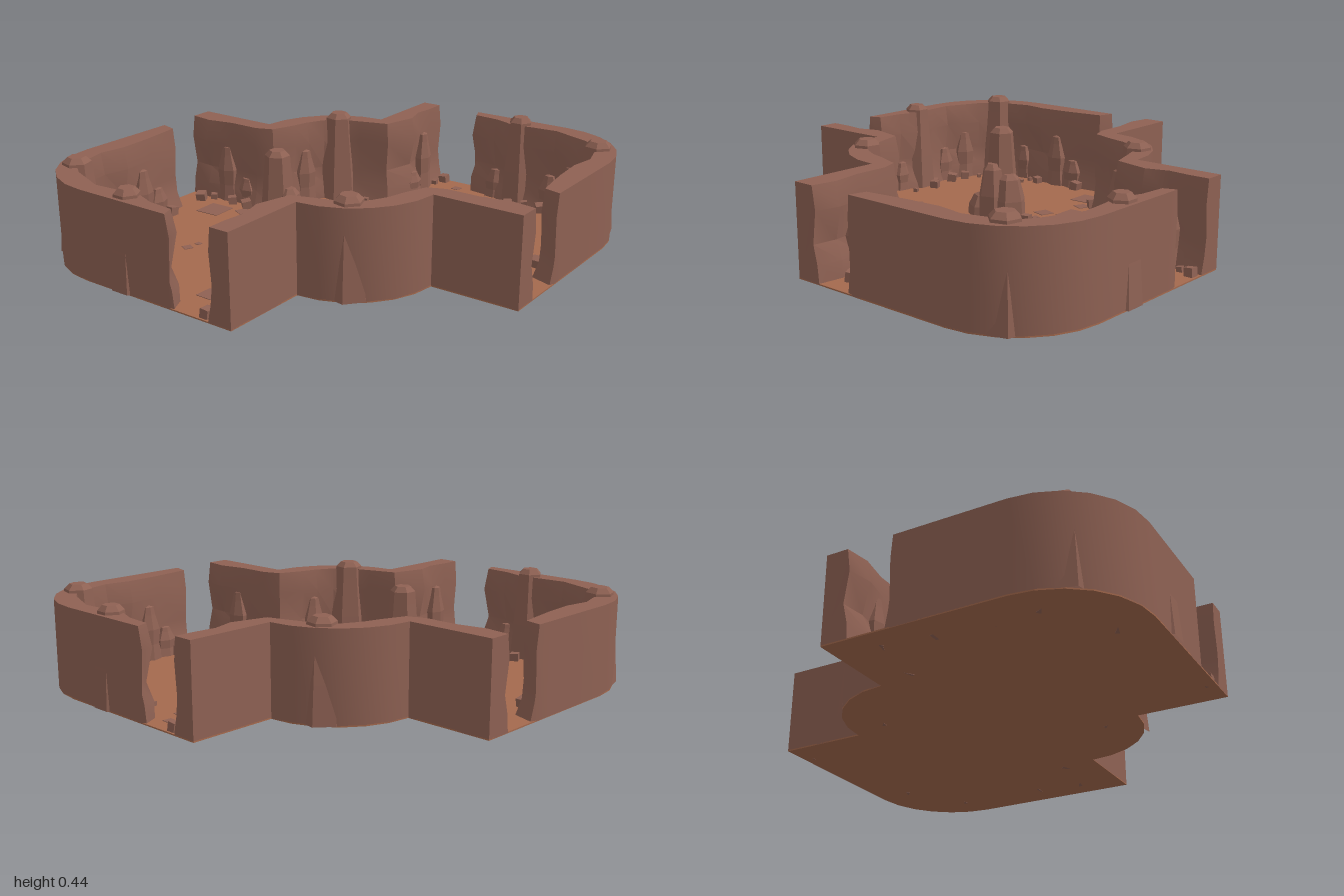
import * as THREE from 'three';
import { toCreasedNormals } from 'three/addons/utils/BufferGeometryUtils.js';

const WALL_TOP = 0.4;
const FLOOR_TOP = 0.006;

// Wall plans as [outerX, outerZ, innerX, innerZ], running clockwise seen from above
const cornerWall = [
  [0.12, -0.99, 0.12, -0.99], [0.22, -0.99, 0.14, -0.935], [0.3, -0.99, 0.26, -0.925],
  [0.4, -0.99, 0.37, -0.885], [0.5, -0.99, 0.47, -0.9], [0.6, -0.99, 0.59, -0.91],
  [0.70, -0.977, 0.68, -0.875], [0.795, -0.938, 0.77, -0.84], [0.876, -0.876, 0.84, -0.79],
  [0.938, -0.795, 0.87, -0.71], [0.977, -0.70, 0.9, -0.6], [0.99, -0.6, 0.88, -0.48],
  [0.99, -0.35, 0.89, -0.32], [0.99, -0.2, 0.915, -0.13], [0.99, -0.11, 0.99, -0.11],
];
const notchWall = [
  [-0.99, -0.2, -0.99, -0.1], [-0.88, -0.2, -0.88, -0.085], [-0.75, -0.2, -0.75, -0.11],
  [-0.66, -0.2, -0.6, -0.11], [-0.59, -0.2, -0.52, -0.14], [-0.577, -0.3, -0.48, -0.25],
  [-0.538, -0.395, -0.46, -0.33], [-0.476, -0.476, -0.42, -0.41], [-0.395, -0.538, -0.35, -0.47],
  [-0.3, -0.577, -0.26, -0.5], [-0.2, -0.59, -0.13, -0.54], [-0.2, -0.7, -0.09, -0.7],
  [-0.2, -0.82, -0.12, -0.8], [-0.2, -0.9, -0.11, -0.9], [-0.2, -0.99, -0.11, -0.99],
];
// Rough inner face: [height, distance into the room]
const innerLevels = [[WALL_TOP, 0], [0.3, 0.014], [0.16, -0.004], [0.08, 0.012], [0.002, 0.025]];

function flat(geometry) {
  const g = geometry.index ? geometry.toNonIndexed() : geometry;
  g.computeVertexNormals();
  return g;
}

function wallGeometry(plan) {
  const clamp = (v) => Math.max(-0.99, Math.min(0.99, v));
  const sections = plan.map(([ox, oz, ix, iz], j) => {
    const a = plan[Math.max(j - 1, 0)];
    const b = plan[Math.min(j + 1, plan.length - 1)];
    const tx = b[2] - a[2], tz = b[3] - a[3], len = Math.hypot(tx, tz);
    const inner = innerLevels.map(([y, d], k) => {
      const off = k === 0 ? 0 : d + 0.006 * Math.sin(j * 5 + k * 3);
      return [clamp(ix - tz / len * off), y, clamp(iz + tx / len * off)];
    });
    return [[ox, 0.002, oz], [ox, WALL_TOP, oz], ...inner];
  });
  const n = sections[0].length;
  const pos = [];
  const tri = (a, b, c) => pos.push(...a, ...b, ...c);
  for (let j = 0; j < sections.length - 1; j++) {
    const s = sections[j], t = sections[j + 1];
    for (let k = 0; k < n; k++) {
      const m = (k + 1) % n;
      tri(s[k], s[m], t[m]);
      tri(s[k], t[m], t[k]);
    }
  }
  const first = sections[0], last = sections[sections.length - 1];
  for (let k = 1; k < n - 1; k++) {
    tri(first[0], first[k + 1], first[k]);
    tri(last[0], last[k], last[k + 1]);
  }
  const g = new THREE.BufferGeometry();
  g.setAttribute('position', new THREE.Float32BufferAttribute(pos, 3));
  return toCreasedNormals(g, 0.45);
}

// Faceted upright stone from a [radius, height] profile, listed bottom to top
function stoneGeometry(profile, sides) {
  return flat(new THREE.LatheGeometry(profile.map(([r, y]) => new THREE.Vector2(r, y)), sides));
}

export function createModel() {
  const rock = new THREE.MeshStandardMaterial({ color: 0x8e6153 });
  rock.name = 'rock brown';
  const earth = new THREE.MeshStandardMaterial({ color: 0xa4694d });
  earth.name = 'earth orange';

  const model = new THREE.Group();
  model.name = 'caveRoom';
  const add = (parent, name, geometry, material) => {
    const mesh = new THREE.Mesh(geometry, material);
    mesh.name = name;
    parent.add(mesh);
    return mesh;
  };

  // Floor slab following the outer walls and crossing the four openings
  const outer = (plan, s) => plan.map((p) => new THREE.Vector2(s * p[0], -s * p[1]));
  const outline = [...outer(cornerWall, 1), ...outer(notchWall, -1),
    ...outer(cornerWall, -1), ...outer(notchWall, 1)];
  const floor = new THREE.ExtrudeGeometry(new THREE.Shape(outline), { depth: FLOOR_TOP, bevelEnabled: false });
  add(model, 'floor', floor.rotateX(-Math.PI / 2), earth);

  const pillarGeo = stoneGeometry([[0.088, 0.003], [0.076, 0.17], [0.06, 0.36], [0.056, 0.412], [0.035, 0.435], [0, 0.435]], 6);
  const shardGeo = stoneGeometry([[0.06, 0.003], [0.05, 0.09], [0.056, 0.17], [0.034, 0.25], [0.026, 0.29], [0, 0.3]], 6);
  const boulderGeo = stoneGeometry([[1, 0], [0.95, 0.45], [0.65, 0.9], [0.35, 1], [0, 1]], 6);
  const cube = new THREE.BoxGeometry(1, 1, 1);
  const cornerGeo = wallGeometry(cornerWall);
  const notchGeo = wallGeometry(notchWall);

  // Wall pillars: x, z, turn, girth
  const pillars = [[0.39, -0.925, Math.PI / 6, 1], [0.86, -0.77, 0.3, 1.12], [-0.37, -0.47, 0.35, 1.1]];
  // Shards leaning on the walls: x, z, turn, height scale
  const shards = [
    [-0.78, -0.1, 0.1, 0.95], [-0.67, -0.115, -0.1, 0.45], [-0.455, -0.31, 1.2, 0.9],
    [-0.095, -0.82, 1.55, 1], [-0.09, -0.72, 1.5, 0.4], [0.57, -0.905, 0, 0.6],
    [0.69, -0.87, -0.4, 0.85], [0.875, -0.38, 1.5, 0.9], [0.885, -0.28, 1.6, 0.5],
    [0.895, -0.62, 1.4, 0.6], [0.27, -0.92, 0.2, 0.5],
  ];
  // Loose stones: x, z, size
  const pebbles = [
    [-0.05, -0.96, 0.04], [-0.07, -0.9, 0.025], [0.27, -0.82, 0.02], [0.4, -0.81, 0.04],
    [0.46, -0.87, 0.03], [0.56, -0.84, 0.045], [0.65, -0.83, 0.04], [0.72, -0.79, 0.02],
    [0.78, -0.54, 0.02], [0.83, -0.66, 0.045], [0.84, -0.53, 0.02], [0.83, -0.47, 0.035],
    [0.85, -0.23, 0.045], [-0.26, -0.43, 0.045], [-0.2, -0.46, 0.025], [-0.39, -0.26, 0.025],
    [-0.88, -0.01, 0.045], [-0.84, -0.06, 0.03], [-0.72, -0.06, 0.04], [-0.62, -0.05, 0.045],
    [-0.06, -0.66, 0.02], [0, -0.66, 0.02],
  ];

  // The walls and their stones repeat under a half turn
  ['back', 'front'].forEach((side, h) => {
    const half = new THREE.Group();
    half.name = side + 'Half';
    half.rotation.y = h * Math.PI;
    model.add(half);
    add(half, 'cornerWall', cornerGeo, rock);
    add(half, 'notchWall', notchGeo, rock);
    pillars.forEach(([x, z, turn, girth]) => {
      const p = add(half, 'pillar', pillarGeo, rock);
      p.position.set(x, 0, z);
      p.rotation.y = turn;
      p.scale.set(girth, 1, girth);
    });
    shards.forEach(([x, z, turn, height]) => {
      const s = add(half, 'shard', shardGeo, rock);
      s.position.set(x, 0, z);
      s.rotation.y = turn;
      s.scale.set(0.95, height, 0.6);
    });
    pebbles.forEach(([x, z, size], i) => {
      const p = add(half, 'pebble', cube, rock);
      p.position.set(x, FLOOR_TOP + size * 0.4, z);
      p.rotation.set(0.1, i * 1.7, 0.08);
      p.scale.setScalar(size);
    });
  });

  // Central outcrop: one tall column ringed by boulders
  const outcrop = new THREE.Group();
  outcrop.name = 'outcrop';
  outcrop.position.set(-0.22, 0, 0.19);
  model.add(outcrop);
  add(outcrop, 'column', pillarGeo, rock);
  [[0.02, -0.06, 0.085, 0.22], [-0.065, 0, 0.07, 0.15], [0.02, 0.085, 0.085, 0.11],
    [0.065, 0.0, 0.07, 0.27], [-0.02, 0.04, 0.06, 0.2]].forEach(([x, z, r, height], i) => {
    const b = add(outcrop, 'boulder', boulderGeo, rock);
    b.position.set(x, 0.003, z);
    b.rotation.y = i * 0.8;
    b.scale.set(r, height, r);
  });
  [[0.01, -0.16, 0.04], [0.08, -0.16, 0.04], [0.15, -0.03, 0.02], [-0.08, 0.14, 0.022]].forEach(([x, z, size], i) => {
    const p = add(outcrop, 'pebble', cube, rock);
    p.position.set(x, FLOOR_TOP + size * 0.4, z);
    p.rotation.y = i * 0.7 + 0.2;
    p.scale.setScalar(size);
  });

  // Thin flagstones set into the floor: x, z, size
  [[0.33, -0.46, 0.125], [0.41, -0.33, 0.075], [0.5, -0.35, 0.04], [0.48, -0.46, 0.03],
    [0.72, -0.06, 0.125], [0.81, -0.04, 0.04], [-0.46, -0.06, 0.125], [-0.39, 0.07, 0.07],
    [-0.3, 0.05, 0.035], [-0.73, 0.06, 0.125], [-0.6, 0, 0.06], [0.08, -0.8, 0.075],
    [0.06, -0.9, 0.04], [0.12, -0.65, 0.04], [-0.08, 0.8, 0.08], [0, 0.76, 0.065],
    [-0.12, 0.64, 0.04], [0, 0.9, 0.04], [0.1, -0.13, 0.045], [0.07, -0.02, 0.05],
    [0.03, -0.08, 0.025], [-0.5, 0.49, 0.04], [-0.27, 0.38, 0.045], [-0.49, 0.43, 0.025],
    [0.31, -0.55, 0.02]].forEach(([x, z, size], i) => {
    const s = add(model, 'flagstone', cube, rock);
    s.position.set(x, FLOOR_TOP, z);
    s.rotation.y = 0.25 * Math.sin(i * 2.3) - 0.2;
    s.scale.set(size, 0.005, size);
  });

  return model;
}
